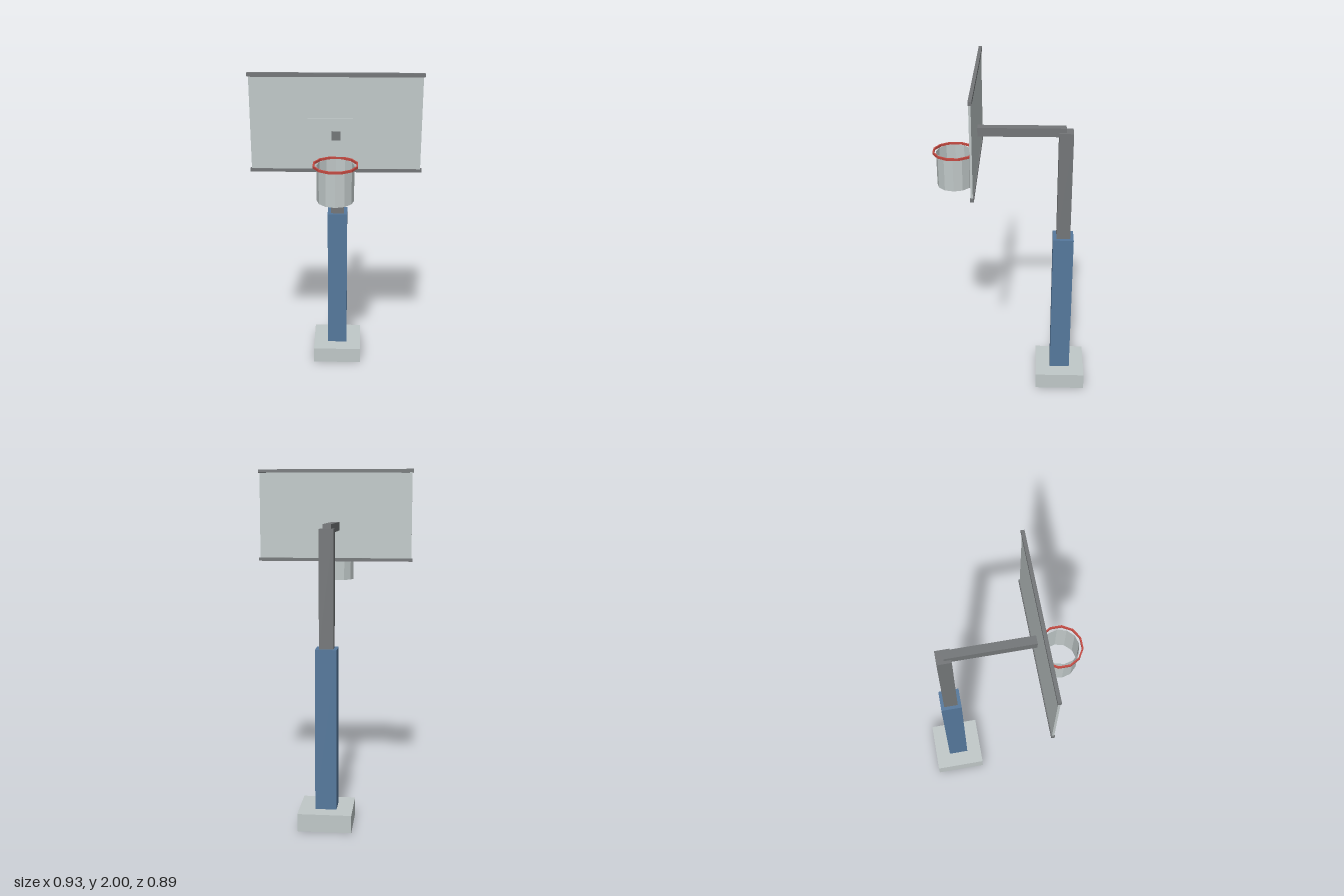
import * as THREE from 'three';

const flat = (name, color, side = THREE.FrontSide) => {
  const m = new THREE.MeshStandardMaterial({ color, side });
  m.flatShading = true;
  m.name = name;
  return m;
};

export function createModel() {
  const group = new THREE.Group();
  group.name = 'basketballHoop';

  const paleGrey = flat('pale grey', 0xc0c8c8, THREE.DoubleSide);
  const steel = flat('steel grey', 0x737678);
  const blue = flat('blue padding', 0x55789c);
  const red = flat('rim red', 0xc44a42);

  const add = (name, geometry, material) => {
    const mesh = new THREE.Mesh(geometry, material);
    mesh.name = name;
    group.add(mesh);
    return mesh;
  };

  // Box given by its half width and its y and z ranges
  const box = (name, material, halfX, y0, y1, z0, z1) =>
    add(name, new THREE.BoxGeometry(halfX * 2, y1 - y0, z1 - z0), material)
      .position.set(0, (y0 + y1) / 2, (z0 + z1) / 2);

  // Stand
  const postZ = -0.295;
  box('base', paleGrey, 0.15, 0, 0.1, postZ - 0.15, postZ + 0.15);
  box('postPadding', blue, 0.06, 0.1, 1.01, postZ - 0.06, postZ + 0.06);
  box('post', steel, 0.04, 1.01, 1.665, postZ - 0.04, postZ + 0.04);
  box('arm', steel, 0.024, 1.64, 1.69, postZ, 0.216);

  // Backboard, its edge rails and the raised target panel
  box('backboard', paleGrey, 0.455, 1.465, 1.99, 0.194, 0.206);
  box('topRail', steel, 0.463, 1.98, 2, 0.189, 0.208);
  box('bottomRail', steel, 0.463, 1.457, 1.476, 0.189, 0.208);
  box('targetPanel', paleGrey, 0.15, 1.535, 1.76, 0.206, 0.213);

  // Twelve-sided rim with a square section, one flat side facing the board
  const hoopZ = 0.326;
  const section = [[0.114, 1.534], [0.123, 1.534], [0.123, 1.547], [0.114, 1.547], [0.114, 1.534]]
    .map(([r, y]) => new THREE.Vector2(r, y));
  const rim = add('rim', new THREE.LatheGeometry(section, 12), red);
  rim.position.z = hoopZ;
  rim.rotation.y = Math.PI / 12;

  // Open net
  add('net', new THREE.CylinderGeometry(0.1, 0.1, 0.2, 12, 1, true), paleGrey)
    .position.set(0, 1.44, hoopZ + 0.002);

  return group;
}
